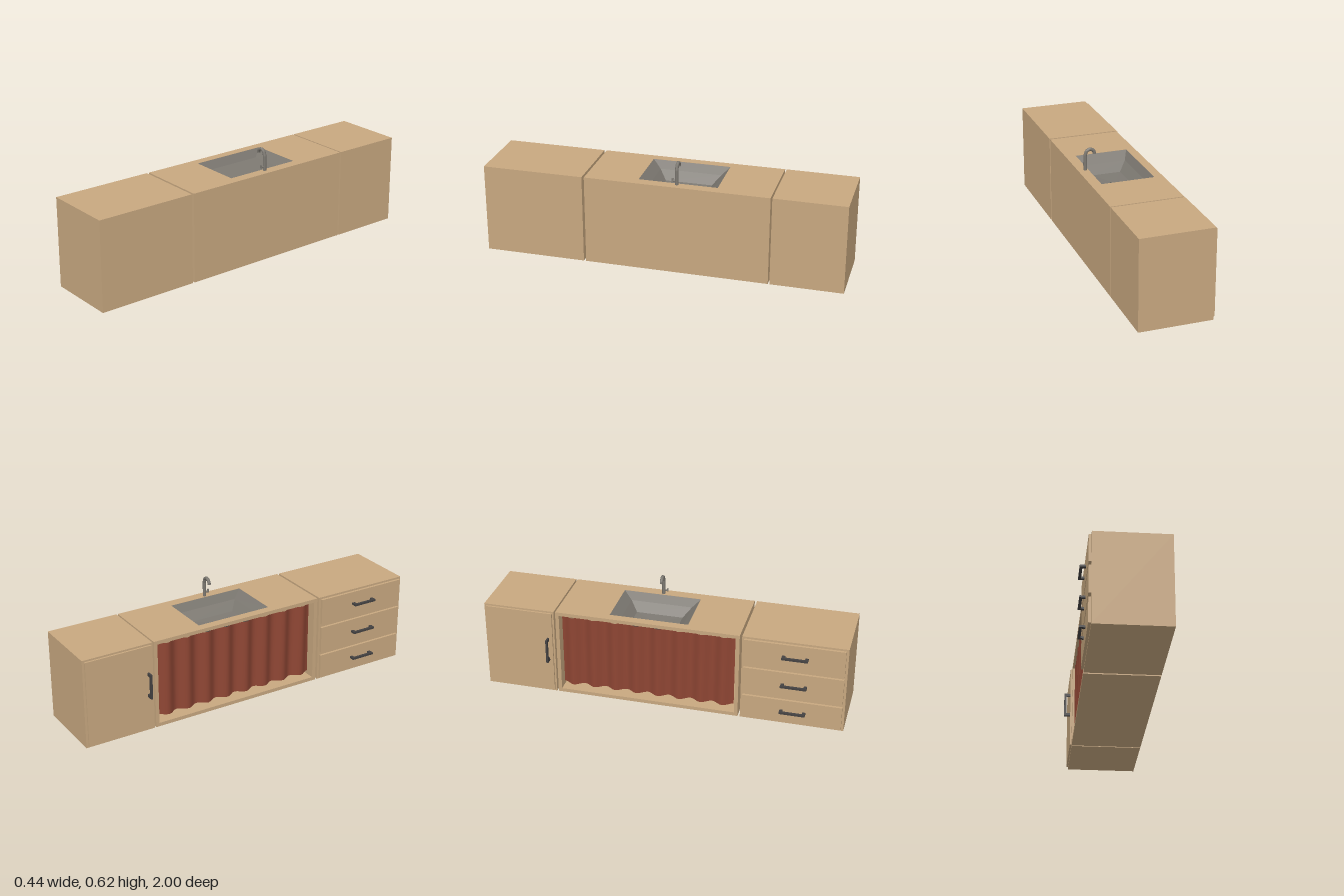
import * as THREE from 'three';

const mat = (name, color, side = THREE.FrontSide) => {
  const m = new THREE.MeshStandardMaterial({ color, side });
  m.name = name;
  return m;
};

export function createModel() {
  const wood = mat('wood', 0xc8a880);
  const steel = mat('steel', 0x7d7972, THREE.DoubleSide);
  const iron = mat('dark iron', 0x444242);
  const cloth = mat('curtain cloth', 0x8f4634, THREE.DoubleSide);

  const model = new THREE.Group();
  model.name = 'kitchenCounter';

  const add = (name, geometry, material, parent = model) => {
    const mesh = new THREE.Mesh(geometry, material);
    mesh.name = name;
    parent.add(mesh);
    return mesh;
  };
  // Box given by its minimum and maximum along each axis
  const box = (name, [x0, x1], [y0, y1], [z0, z1], material, parent = model) => {
    const m = add(name, new THREE.BoxGeometry(x1 - x0, y1 - y0, z1 - z0), material, parent);
    m.position.set((x0 + x1) / 2, (y0 + y1) / 2, (z0 + z1) / 2);
    return m;
  };

  const FRONT = -0.177, BACK = 0.222, H = 0.5, T = 0.02;

  // Cabinets at both ends
  box('doorCabinet', [FRONT, BACK], [0, H], [-1, -0.602], wood);
  box('drawerCabinet', [FRONT, BACK], [0, H], [0.438, 1], wood);

  // Bar handle on two posts, built along local y and standing out towards -x
  const handle = (name, face) => {
    const g = new THREE.Group();
    g.name = name;
    box('handleBar', [-0.222, -0.208], [-0.07, 0.07], [-0.0055, 0.0055], iron, g);
    for (const s of [-1, 1]) {
      const y = s * 0.0615;
      box('handlePost', [-0.209, face], [y - 0.0085, y + 0.0085], [-0.0055, 0.0055], iron, g);
    }
    model.add(g);
    return g;
  };

  // Door with an upright handle
  box('door', [-0.187, FRONT], [0.012, 0.49], [-0.988, -0.612], wood);
  handle('doorHandle', -0.187).position.set(0, 0.27, -0.636);

  // Three drawers with level handles
  for (const [y0, y1, yh] of [[0.012, 0.149, 0.085], [0.17, 0.32, 0.248], [0.34, 0.489, 0.419]]) {
    box('drawerFront', [-0.191, FRONT], [y0, y1], [0.45, 0.987], wood);
    const h = handle('drawerHandle', -0.191);
    h.rotation.x = Math.PI / 2;
    h.position.set(0, yh, 0.725);
  }

  // Open sink cabinet
  const Z0 = -0.593, Z1 = 0.425;
  box('sinkCabinetFloor', [FRONT, BACK], [0, T], [Z0, Z1], wood);
  box('sinkCabinetBack', [BACK - 0.01, BACK], [T, H - T], [Z0 + T, Z1 - T], wood);
  box('sinkCabinetSide', [FRONT, BACK], [T, H - T], [Z0, Z0 + T], wood);
  box('sinkCabinetSide', [FRONT, BACK], [T, H - T], [Z1 - T, Z1], wood);

  // Worktop with the basin cut-out
  const CX = 0.018, CZ = -0.082, HX = 0.147, HZ = 0.217;
  const rect = (P, x0, x1, z0, z1) => {
    const p = new P();
    p.moveTo(x0, -z1);
    p.lineTo(x1, -z1);
    p.lineTo(x1, -z0);
    p.lineTo(x0, -z0);
    p.closePath();
    return p;
  };
  const top = rect(THREE.Shape, FRONT, BACK, Z0, Z1);
  top.holes.push(rect(THREE.Path, CX - HX, CX + HX, CZ - HZ, CZ + HZ));
  const topGeo = new THREE.ExtrudeGeometry(top, { depth: T, bevelEnabled: false });
  topGeo.rotateX(-Math.PI / 2);
  add('worktop', topGeo, wood).position.y = H - T;

  // Basin from rectangular rings: half width, half length, height
  const rings = [[HX, HZ, H - 0.001], [0.123, 0.172, 0.455], [0.08, 0.13, 0.408], [0, 0, 0.403]];
  const corner = ([hx, hz, y], i) => {
    const [sx, sz] = [[-1, 1], [1, 1], [1, -1], [-1, -1]][i % 4];
    return [CX + sx * hx, y, CZ + sz * hz];
  };
  const verts = [];
  for (let r = 0; r < rings.length - 1; r++) {
    for (let i = 0; i < 4; i++) {
      const a = corner(rings[r], i), b = corner(rings[r], i + 1);
      const c = corner(rings[r + 1], i + 1), d = corner(rings[r + 1], i);
      verts.push(...a, ...b, ...c);
      if (r < rings.length - 2) verts.push(...a, ...c, ...d);
    }
  }
  const basinGeo = new THREE.BufferGeometry();
  basinGeo.setAttribute('position', new THREE.Float32BufferAttribute(verts, 3));
  basinGeo.computeVertexNormals();
  add('basin', basinGeo, steel);
  add('drain', new THREE.CylinderGeometry(0.022, 0.022, 0.008, 16), steel).position.set(CX, 0.405, CZ);

  // Tap: bent spout with a side lever
  const tap = new THREE.Group();
  tap.name = 'tap';
  tap.position.z = -0.08;
  model.add(tap);
  const path = new THREE.CurvePath();
  const pts = [[0.181, 0.5], [0.181, 0.583], [0.174, 0.605], [0.155, 0.616],
    [0.138, 0.608], [0.13, 0.596], [0.13, 0.587]].map(([x, y]) => new THREE.Vector3(x, y, 0));
  for (let i = 1; i < pts.length; i++) path.add(new THREE.LineCurve3(pts[i - 1], pts[i]));
  add('spout', new THREE.TubeGeometry(path, 28, 0.0095, 8), steel, tap);
  const tip = add('spoutEnd', new THREE.CircleGeometry(0.0095, 8), steel, tap);
  tip.rotation.x = Math.PI / 2;
  tip.position.set(0.13, 0.587, 0);
  const stub = add('leverStub', new THREE.CylinderGeometry(0.005, 0.005, 0.022, 8), steel, tap);
  stub.rotation.x = Math.PI / 2;
  stub.position.set(0.181, 0.522, 0.014);
  box('lever', [0.177, 0.185], [0.516, 0.535], [0.02, 0.027], steel, tap);

  // Pleated curtain hung on a rod behind the front edge
  const folds = 8, span = 0.962;
  const curtainGeo = new THREE.PlaneGeometry(span, 0.42, folds * 8, 1);
  const p = curtainGeo.attributes.position;
  for (let i = 0; i < p.count; i++) {
    const t = (p.getX(i) / span + 0.5) * folds;
    p.setZ(i, -0.015 * Math.cos(t * Math.PI * 2));
  }
  curtainGeo.rotateY(-Math.PI / 2);
  curtainGeo.computeVertexNormals();
  add('curtain', curtainGeo, cloth).position.set(-0.153, 0.26, -0.086);
  const rod = add('curtainRod', new THREE.CylinderGeometry(0.004, 0.004, Z1 - Z0 - 2 * T, 8), steel);
  rod.rotation.x = Math.PI / 2;
  rod.position.set(-0.153, 0.472, (Z0 + Z1) / 2);

  return model;
}
